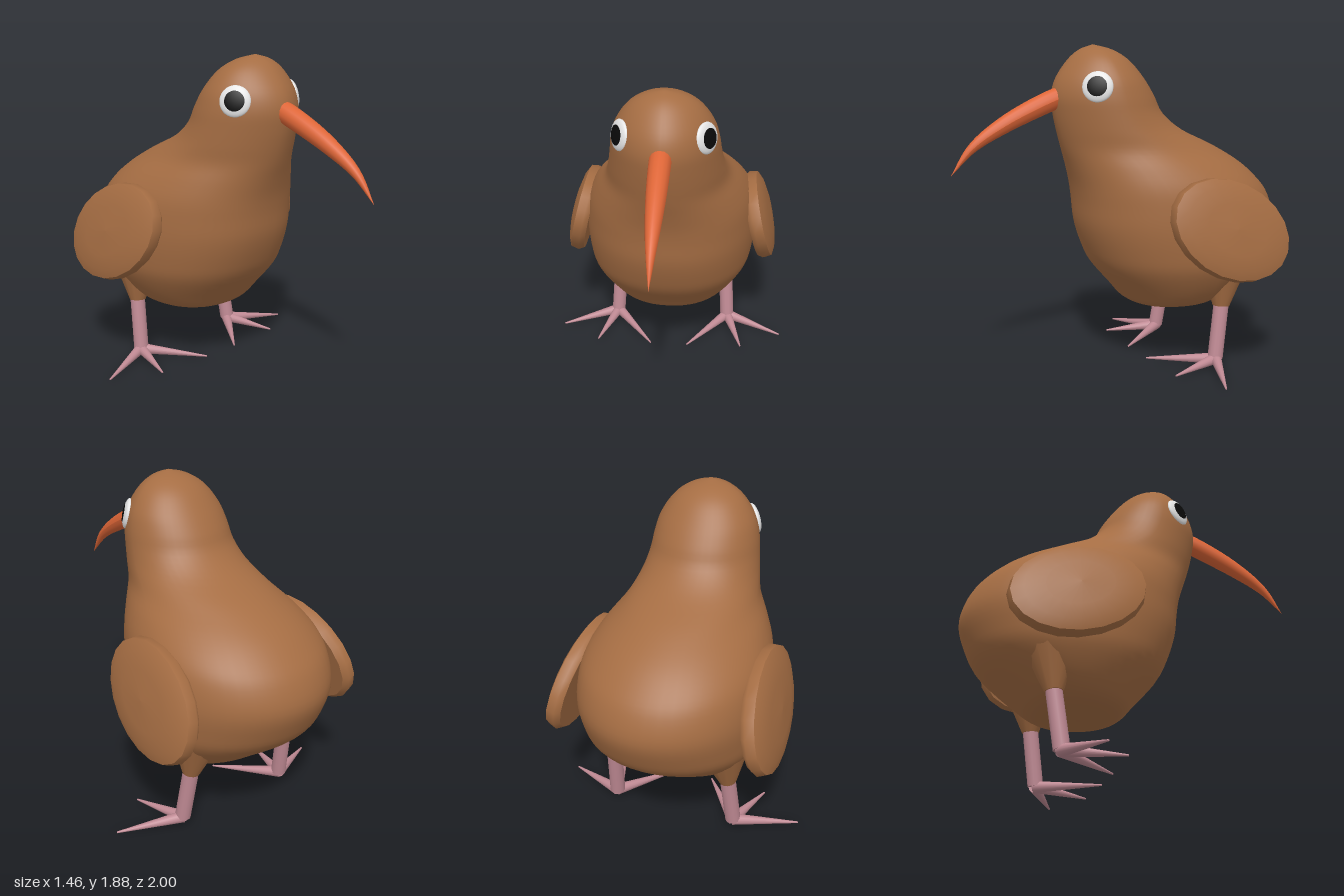
import * as THREE from 'three';
import { mergeVertices } from 'three/addons/utils/BufferGeometryUtils.js';

const flat = (name, color) => {
  const m = new THREE.MeshStandardMaterial({ color });
  m.name = name;
  return m;
};
const V = (x, y, z) => new THREE.Vector3(x, y, z);

// Height, front z, back z, half width, z of the widest point
const BODY = [
  [0.34, -0.3, -0.3, 0, -0.3],
  [0.35, -0.13, -0.49, 0.2, -0.32],
  [0.38, -0.05, -0.59, 0.32, -0.36],
  [0.46, 0.02, -0.7, 0.41, -0.4],
  [0.6, 0.14, -0.88, 0.495, -0.42],
  [0.72, 0.2, -0.955, 0.52, -0.42],
  [0.86, 0.245, -0.998, 0.53, -0.42],
  [1.0, 0.262, -0.96, 0.52, -0.4],
  [1.1, 0.28, -0.885, 0.495, -0.35],
  [1.2, 0.31, -0.77, 0.44, -0.25],
  [1.3, 0.345, -0.6, 0.37, -0.12],
  [1.4, 0.375, -0.38, 0.335, 0],
  [1.5, 0.398, -0.25, 0.315, 0.06],
  [1.6, 0.408, -0.195, 0.3, 0.09],
  [1.7, 0.38, -0.13, 0.27, 0.11],
  [1.8, 0.31, -0.045, 0.2, 0.13],
  [1.86, 0.24, 0.05, 0.11, 0.15],
  [1.89, 0.16, 0.16, 0, 0.16],
];

// Skin lofted through rounded cross-sections, pointed in front at the head
function bodyGeometry(rings = 68, sides = 48) {
  const depth = new THREE.CatmullRomCurve3(BODY.map(r => V(r[1], r[0], r[2])), false, 'catmullrom');
  const width = new THREE.CatmullRomCurve3(BODY.map(r => V(r[3], r[0], r[4])), false, 'catmullrom');
  const power = (v, e) => Math.sign(v) * Math.abs(v) ** (2 / e);
  const pos = [], index = [];
  for (let i = 0; i <= rings; i++) {
    const d = depth.getPoint(i / rings), w = width.getPoint(i / rings);
    const frontPower = THREE.MathUtils.lerp(2.2, 1.75, THREE.MathUtils.smoothstep(d.y, 1, 1.5));
    for (let j = 0; j < sides; j++) {
      const a = (j / sides) * Math.PI * 2, c = Math.cos(a), s = Math.sin(a);
      const e = s > 0 ? frontPower : 2;
      const reach = s > 0 ? d.x - w.z : w.z - d.z;
      pos.push(w.x * power(c, e), d.y, w.z + reach * power(s, e));
      if (i === rings) continue;
      const p = i * sides + j, q = i * sides + (j + 1) % sides;
      if (i < rings - 1) index.push(p, p + sides, q + sides);
      if (i > 0) index.push(p, q + sides, q);
    }
  }
  let g = new THREE.BufferGeometry();
  g.setAttribute('position', new THREE.Float32BufferAttribute(pos, 3));
  g.setIndex(index);
  g = mergeVertices(g, 1e-5);
  g.computeVertexNormals();
  return g;
}

// Curved beak: a tube whose rings shrink towards the tip
function beakGeometry(segments = 20, sides = 16) {
  const path = new THREE.CatmullRomCurve3([
    V(0, 1.605, 0.33), V(0, 1.575, 0.42), V(0, 1.45, 0.69), V(0, 1.325, 0.88), V(0, 1.18, 1),
  ]);
  const g = new THREE.TubeGeometry(path, segments, 0.06, sides);
  const p = g.attributes.position, v = V(0, 0, 0);
  for (let i = 0; i < p.count; i++) {
    const t = Math.floor(i / (sides + 1)) / segments;
    const c = path.getPointAt(t);
    v.fromBufferAttribute(p, i).sub(c).multiplyScalar(Math.max(0.01, 1 - t ** 2.2)).add(c);
    p.setXYZ(i, v.x, v.y, v.z);
  }
  g.computeVertexNormals();
  return g;
}

export function createModel() {
  const model = new THREE.Group();
  model.name = 'bird';
  const brown = flat('brown feathers', 0xa56d43);
  const orange = flat('orange beak', 0xdd6536);
  const pink = flat('pink legs', 0xc08a94);
  const white = flat('eye white', 0xe6e6e6);
  const black = flat('pupil black', 0x0a0a0a);

  const add = (name, geometry, material, parent = model) => {
    const mesh = new THREE.Mesh(geometry, material);
    mesh.name = name;
    parent.add(mesh);
    return mesh;
  };
  // Tapered round limb between two points
  const limb = (name, a, b, ra, rb, material, parent) => {
    const dir = b.clone().sub(a);
    const mesh = add(name, new THREE.CylinderGeometry(rb, ra, dir.length(), 14), material, parent);
    mesh.position.copy(a).addScaledVector(dir, 0.5);
    mesh.quaternion.setFromUnitVectors(V(0, 1, 0), dir.normalize());
  };
  // Turn a disc-like mesh so its axis follows n and its x axis follows u
  const orient = (mesh, u, n) => {
    n.normalize();
    u.addScaledVector(n, -u.dot(n)).normalize();
    mesh.quaternion.setFromRotationMatrix(
      new THREE.Matrix4().makeBasis(u, n, u.clone().cross(n)));
  };

  add('body', bodyGeometry(), brown);
  add('beak', beakGeometry(), orange);

  // Domed plate for the wings, with a firm rim
  const wingGeo = new THREE.LatheGeometry([
    [0, -0.05], [0.93, -0.05], [0.93, -0.05], [1, -0.02], [0.97, 0.03],
    [0.97, 0.03], [0.8, 0.052], [0.5, 0.068], [0, 0.075],
  ].map(([r, h]) => new THREE.Vector2(r, h)), 20);
  wingGeo.scale(0.39, 1, 0.28);

  const eyeGeo = new THREE.SphereGeometry(0.087, 28, 16);
  const pupilGeo = new THREE.SphereGeometry(0.0885, 28, 8, 0, Math.PI * 2, 0, 0.68);

  for (const s of [1, -1]) {
    const side = s > 0 ? 'left' : 'right';

    // Wing
    const wing = add(side + 'Wing', wingGeo, brown);
    wing.position.set(s * 0.56, 0.86, -0.435);
    orient(wing, V(0, -0.42, -0.9), V(s * 0.97, 0.23, 0));

    // Eye with a pupil cap
    const eye = new THREE.Group();
    eye.name = side + 'Eye';
    eye.position.set(s * 0.232, 1.655, 0.235);
    orient(eye, V(0, 1, 0), V(s * 0.82, 0.2, 0.55));
    eye.scale.y = 0.32;
    add(side + 'EyeWhite', eyeGeo, white, eye);
    add(side + 'Pupil', pupilGeo, black, eye).position.y = 0.004;
    model.add(eye);

    // Leg with three forward toes
    const leg = new THREE.Group();
    leg.name = side + 'Leg';
    model.add(leg);
    const ankle = V(s * 0.375, 0.055, -0.46);
    limb(side + 'Thigh', V(s * 0.335, 0.6, -0.53), V(s * 0.355, 0.365, -0.507), 0.14, 0.05, brown, leg);
    limb(side + 'Shin', V(s * 0.352, 0.42, -0.515), ankle, 0.045, 0.045, pink, leg);
    const tips = [[0.73, 0.01, -0.31], [0.47, 0.025, -0.14], [0.12, 0.022, -0.13]];
    tips.forEach(([x, y, z], i) => limb(side + ['Outer', 'Middle', 'Inner'][i] + 'Toe',
      V(s * 0.375, 0.05, -0.465), V(s * x, y, z), 0.034, 0.005, pink, leg));
  }
  return model;
}
